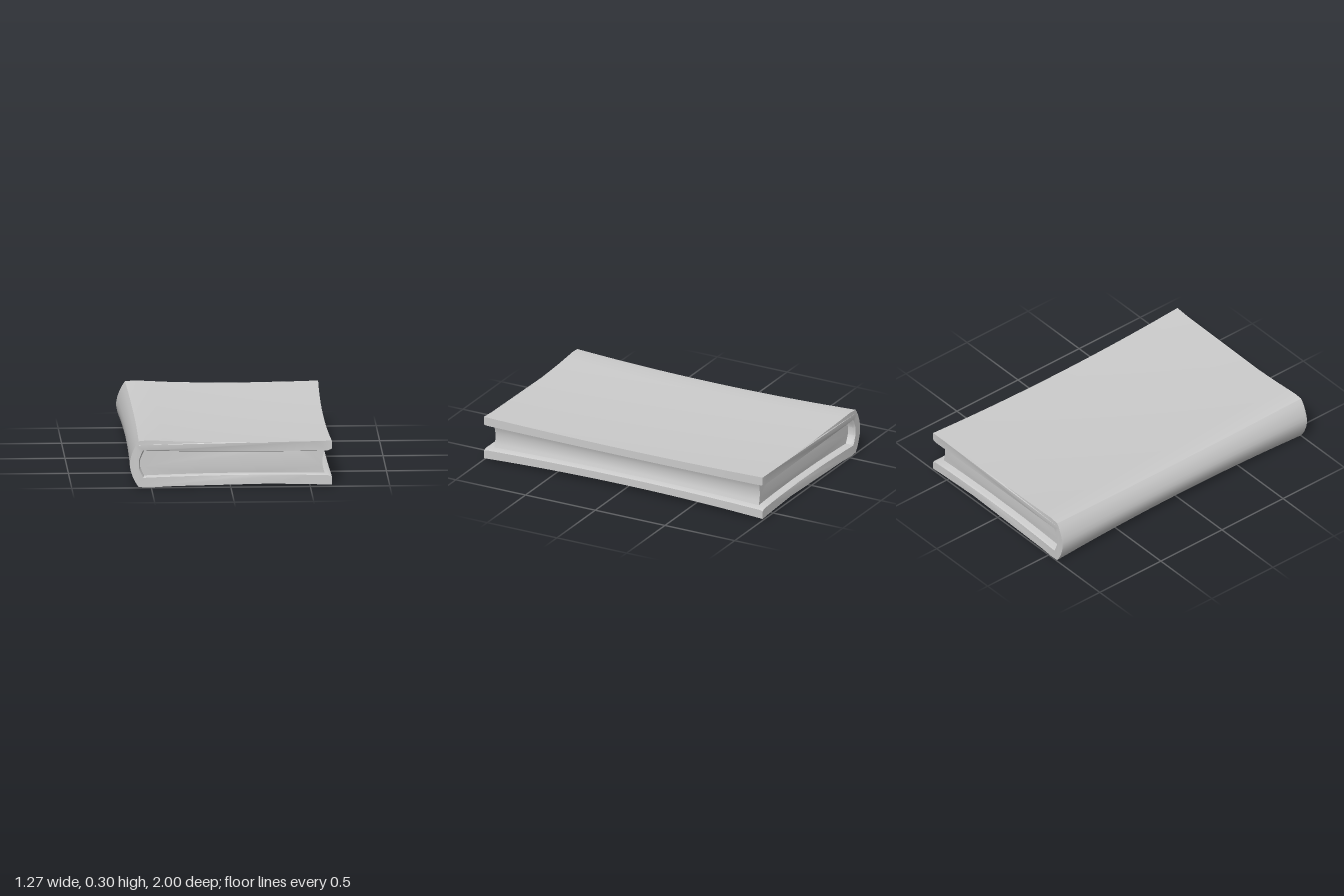
import * as THREE from 'three';
import { toCreasedNormals } from 'three/addons/utils/BufferGeometryUtils.js';

const MID = 0.157; // height of the book's middle plane
const STEPS = 20;

// Straight run of points between two corners, so that it can be bent
function run([x0, y0], [x1, y1], n = 12) {
  return Array.from({ length: n + 1 }, (_, i) => [x0 + ((x1 - x0) * i) / n, y0 + ((y1 - y0) * i) / n]);
}

// Upper half of an outline, plus its mirror image below
function mirrored(upper) {
  return [...upper, ...upper.map(([x, y]) => [x, -y]).reverse()];
}

// Gentle pinch towards the middle of the book
function warp(x, y, z) {
  const sy = (0.865 + 0.28 * (x - 0.15) ** 2) * (0.86 + 0.14 * z * z);
  return [
    x * (1 - 0.022 * (1 - z * z)),
    MID + y * sy,
    z * (1 - 0.011 * (1 - Math.min(1, (x / 0.63) ** 2))),
  ];
}

// Extrude an outline along z, apply an optional rule, then bend it
function bentBar(points, halfLength, rule = (x, y, z) => [x, y, z]) {
  const shape = new THREE.Shape(points.map(([x, y]) => new THREE.Vector2(x, y)));
  const geo = new THREE.ExtrudeGeometry(shape, { depth: 2, steps: STEPS, bevelEnabled: false });
  geo.translate(0, 0, -1);
  const p = geo.attributes.position;
  for (let i = 0; i < p.count; i++) {
    const [x, y, z] = rule(p.getX(i), p.getY(i), p.getZ(i));
    p.setXYZ(i, ...warp(x, y, z * halfLength));
  }
  geo.deleteAttribute('uv');
  return toCreasedNormals(geo, 0.5);
}

export function createModel() {
  const group = new THREE.Group();
  const material = new THREE.MeshStandardMaterial({ color: 0xcccccc, side: THREE.DoubleSide });
  const add = (name, geometry) => {
    const mesh = new THREE.Mesh(geometry, material);
    mesh.name = name;
    group.add(mesh);
  };

  // Cover: two boards joined by a rounded spine, as one C-shaped section
  const outer = mirrored([
    ...run([0.635, 0.152], [-0.52, 0.153]),
    [-0.58, 0.144], [-0.598, 0.118], [-0.615, 0.084], [-0.628, 0.047], [-0.635, 0.015],
  ]);
  const inner = mirrored([
    [0.635, 0.091],
    ...run([0.61, 0.081], [-0.545, 0.083]),
    [-0.558, 0.056], [-0.57, 0.026],
  ]).reverse();
  // Small chamfer where the inside of the cover meets its two ends
  const chamfer = (x, y, z) => {
    const isInner = Math.abs(y) < 0.095 && x > -0.58;
    const isEnd = Math.abs(z) > 0.999;
    const isSecond = !isEnd && Math.abs(z) > 1 - 2.5 / STEPS;
    if (isEnd && isInner) return [x < -0.5 ? x - 0.007 : x, y * 1.06, z];
    return [x, y, isSecond ? Math.sign(z) * 0.985 : z];
  };
  add('cover', bentBar([...outer, ...inner], 1, chamfer));

  // Page block: set back from the cover, with a hollow fore-edge
  const pages = mirrored([
    [0.582, 0.048], [0.586, 0.062],
    ...run([0.594, 0.083], [-0.545, 0.084]),
    [-0.558, 0.057], [-0.57, 0.027],
  ].slice(2));
  pages.push([0.586, -0.055], [0.581, -0.028], [0.58, 0], [0.581, 0.028], [0.586, 0.055]);
  add('pages', bentBar(pages, 0.95));

  return group;
}
